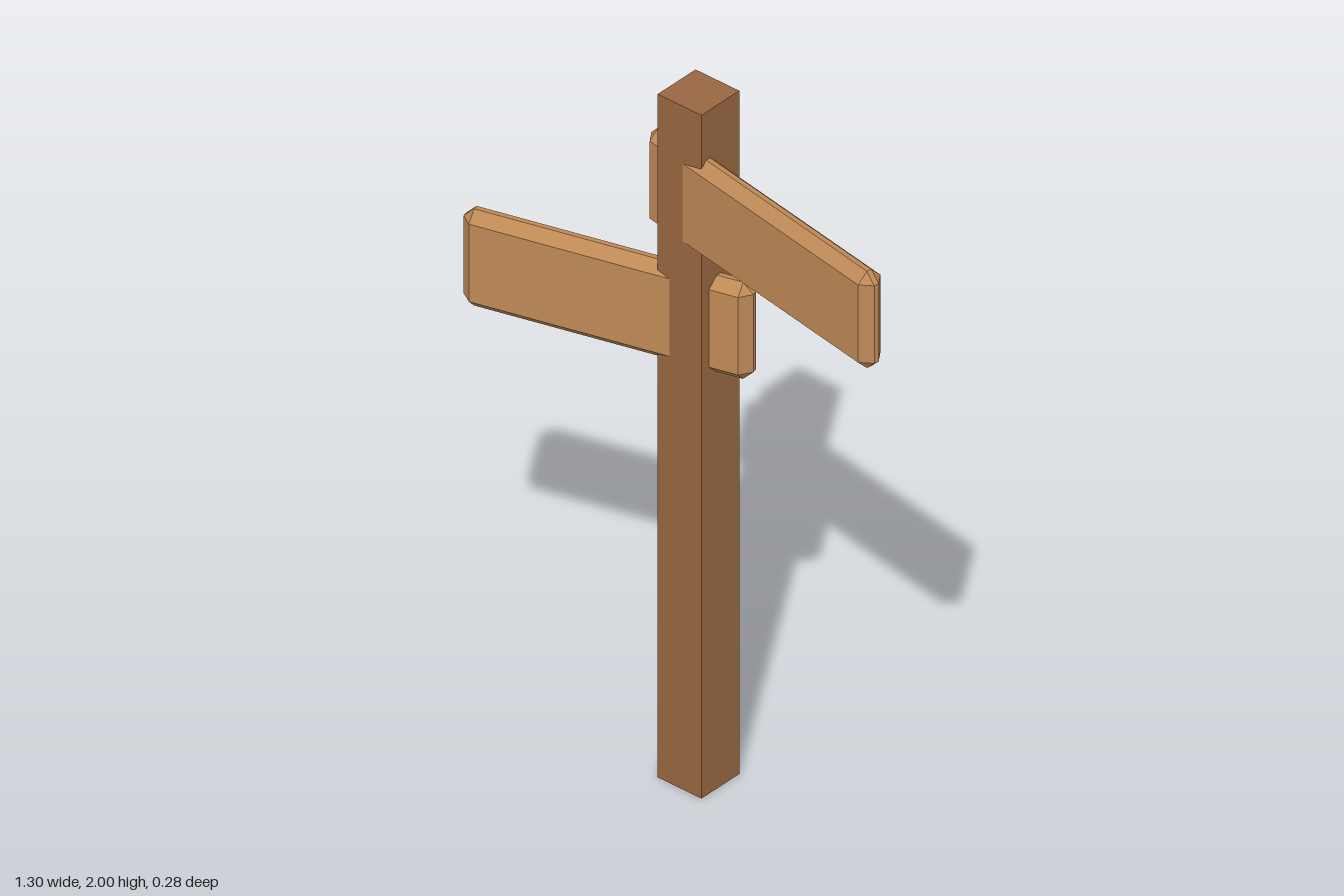
import * as THREE from 'three';
import { ConvexGeometry } from 'three/addons/geometries/ConvexGeometry.js';

const material = (name, color) => {
  const m = new THREE.MeshStandardMaterial({ color });
  m.name = name;
  return m;
};

// Box with every edge and corner cut by the same chamfer
function chamferedBox(w, h, d, c) {
  const points = [];
  for (const sx of [-1, 1]) for (const sy of [-1, 1]) for (const sz of [-1, 1]) {
    const [x, y, z] = [w / 2, h / 2, d / 2];
    points.push(
      new THREE.Vector3(sx * x, sy * (y - c), sz * (z - c)),
      new THREE.Vector3(sx * (x - c), sy * y, sz * (z - c)),
      new THREE.Vector3(sx * (x - c), sy * (y - c), sz * z)
    );
  }
  return new ConvexGeometry(points);
}

export function createModel() {
  const model = new THREE.Group();
  model.name = 'signpost';
  const postWood = material('darkWood', 0x986741);
  const boardWood = material('lightWood', 0xbe8956);

  // Square upright post
  const post = new THREE.Mesh(new THREE.BoxGeometry(0.14, 2, 0.14), postWood);
  post.name = 'post';
  post.position.set(-0.06, 1, -0.07);
  model.add(post);

  // Two boards passing through the post, each swung forward at its long end
  const boards = [
    { name: 'upperBoard', length: 0.855, at: [0.225, 1.718, 0.013], turn: -10 },
    { name: 'lowerBoard', length: 0.78, at: [-0.273, 1.362, 0.012], turn: 15 },
  ];
  for (const { name, length, at, turn } of boards) {
    const board = new THREE.Mesh(chamferedBox(length, 0.283, 0.07, 0.028), boardWood);
    board.name = name;
    board.position.set(...at);
    board.rotation.y = THREE.MathUtils.degToRad(turn);
    model.add(board);
  }
  return model;
}
